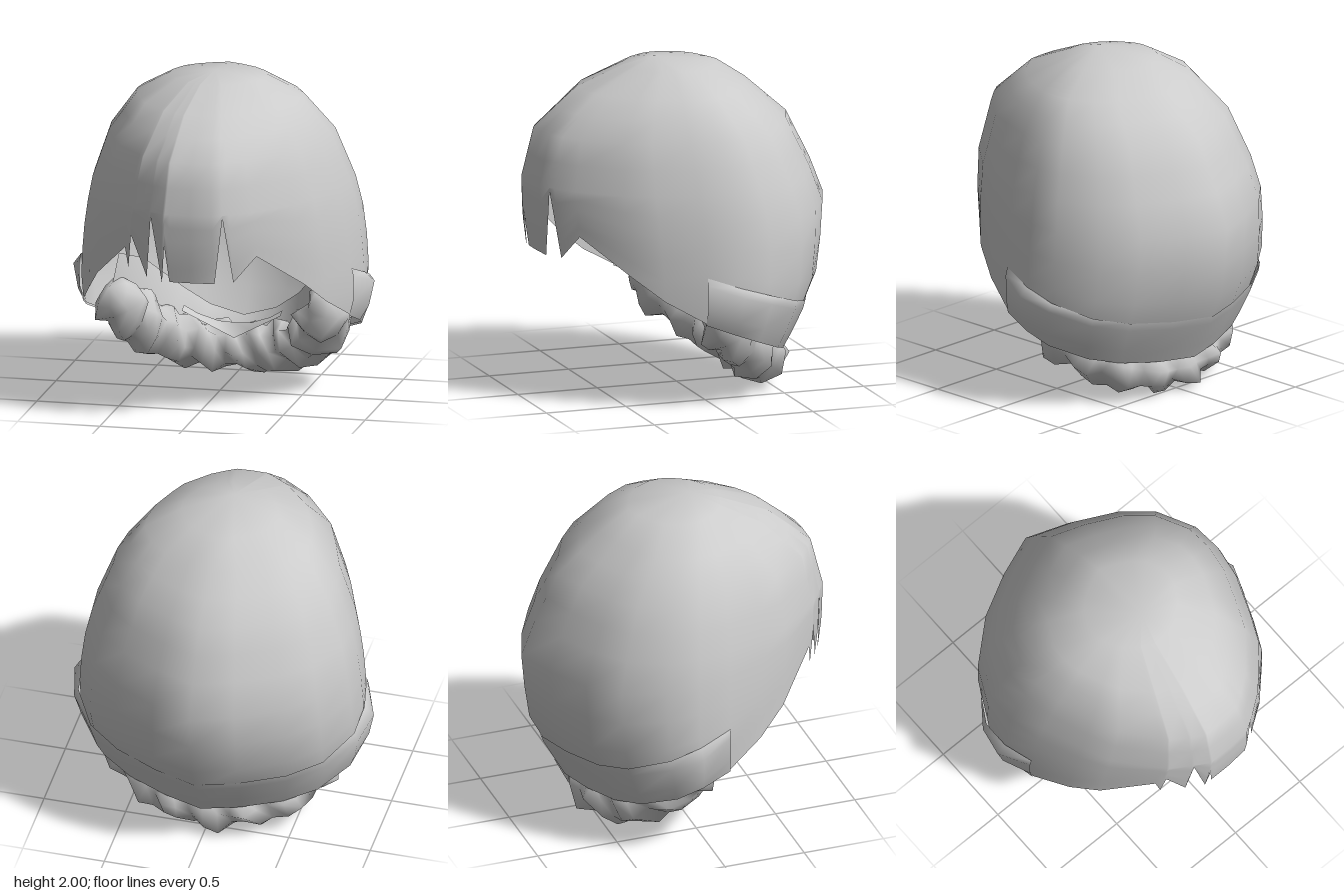
import * as THREE from 'three';
import { mergeVertices } from 'three/addons/utils/BufferGeometryUtils.js';

const material = new THREE.MeshStandardMaterial({ color: 0xcccccc, side: THREE.DoubleSide });

// Piecewise linear lookup in rows of [key, value, ...], keys ascending
function lookup(table, key, col = 1) {
  if (key <= table[0][0]) return table[0][col];
  for (let i = 1; i < table.length; i++) {
    const a = table[i - 1], b = table[i];
    if (key <= b[0]) return a[col] + (b[col] - a[col]) * (key - a[0]) / (b[0] - a[0]);
  }
  return table[table.length - 1][col];
}

function smoothMesh(name, geometry) {
  const merged = mergeVertices(geometry, 1e-4);
  merged.computeVertexNormals();
  const mesh = new THREE.Mesh(merged, material);
  mesh.name = name;
  return mesh;
}

// Smooth surface through columns of points, optionally closed around
function surface(name, columns, closed) {
  const rows = columns[0].length, n = columns.length, index = [];
  for (let c = 0; c < (closed ? n : n - 1); c++) {
    for (let r = 0; r < rows - 1; r++) {
      const a = c * rows + r, b = ((c + 1) % n) * rows + r;
      index.push(a, b, b + 1, a, b + 1, a + 1);
    }
  }
  const geometry = new THREE.BufferGeometry();
  geometry.setAttribute('position', new THREE.Float32BufferAttribute(columns.flat(2), 3));
  geometry.setIndex(index);
  return smoothMesh(name, geometry);
}

// Height: front z, back z, half width, z of the widest point
const LEVELS = [
  [0.22, 0.82, -0.64, 0.74, -0.05],
  [0.40, 0.84, -0.73, 0.82, -0.07],
  [0.65, 0.87, -0.87, 0.86, -0.10],
  [0.85, 0.89, -0.90, 0.85, -0.10],
  [1.07, 0.92, -0.93, 0.83, -0.10],
  [1.30, 0.93, -0.84, 0.78, -0.08],
  [1.60, 0.86, -0.69, 0.67, -0.04],
  [1.83, 0.60, -0.43, 0.50, 0.02],
  [1.95, 0.32, -0.25, 0.29, 0.06],
  [2.00, 0.14, 0.14, 0.00, 0.14],
];

// Point on the cap for outline coordinates (u across, v along) and a height
function capPoint(u, v, y, offset = 0) {
  const [front, back, width, mid] = [1, 2, 3, 4].map((c) => lookup(LEVELS, y, c));
  const z = mid + v * (v > 0 ? front - mid : mid - back);
  const len = Math.hypot(u, v);
  return [u * width + offset * u / len, y, z + offset * v / len];
}

// Side outline from the back to the temple: u, v, height of the lower edge
const SIDE = [
  [0.30, -0.89, 0.25], [0.61, -0.73, 0.28], [0.83, -0.54, 0.33],
  [0.98, -0.24, 0.41], [1.00, 0.00, 0.47], [0.96, 0.20, 0.54],
  [0.84, 0.44, 0.67], [0.74, 0.61, 0.81],
];
// Fringe from left to right: x, height of the lower edge
const FRINGE = [
  [0.40, 1.03], [0.27, 0.88], [0.22, 1.28], [0.17, 0.88], [0.03, 0.88], [-0.10, 0.88],
  [-0.13, 1.11], [-0.145, 0.87], [-0.22, 1.27], [-0.25, 0.89], [-0.37, 1.13],
  [-0.38, 0.92], [-0.41, 1.04],
];
const FRONT = [[0, 1], [0.18, 1], [0.44, 0.87], [0.6, 0.74], [0.74, 0.61]];

const mirror = (half) => half.map(([x, ...rest]) => [-x, ...rest]).reverse();

// Dome with level rows down to the brow, then rows reaching the ragged lower edge
function makeCap() {
  const fringe = FRINGE.map(([x, y]) => {
    const u = x / (y > 1.2 ? 0.79 : 0.84);
    return [u, lookup(FRONT, Math.abs(u)), y];
  });
  const outline = [[0, -1, 0.24], ...SIDE, ...fringe, ...mirror(SIDE)];
  const columns = outline.map(([u, v, edge]) => {
    const heights = [2, 1.95, 1.83, 1.72, 1.6, 1.45, 1.3];
    for (let k = 1; k <= 5; k++) heights.push(1.3 + (edge - 1.3) * k / 5);
    return heights.map((y) => capPoint(u, v, y));
  });
  return surface('cap', columns, true);
}

// Low raised band around the sides and back, flared over the ears
function makeBand() {
  const half = SIDE.slice(0, 6);
  const LIFT = [[-1, 0.012], [-0.54, 0.015], [-0.24, 0.03], [0, 0.06], [0.2, 0.015]];
  const columns = [...mirror(half), [0, -1, 0.24], ...half].map(([u, v, edge]) => {
    const lift = lookup(LIFT, v);
    return [
      capPoint(u, v, edge + 0.28, 0.004),
      capPoint(u, v, edge + 0.23, lift),
      capPoint(u, v, edge + 0.08, lift * 0.7),
      capPoint(u, v, edge - 0.01, 0.004),
    ];
  });
  return surface('band', columns, false);
}

// Lumpy roll of curls under the band, thicker toward its ends
function makeCurls() {
  const half = [[0.67, 0.60, 0.03], [0.62, 0.46, -0.10], [0.51, 0.30, -0.27], [0.33, 0.20, -0.40]];
  const path = [...half, [0, 0.15, -0.48], ...mirror(half)];
  const curve = new THREE.CatmullRomCurve3(path.map((p) => new THREE.Vector3(...p)));
  const segments = 30, sides = 8;
  const geometry = new THREE.TubeGeometry(curve, segments, 1, sides);
  const position = geometry.attributes.position, normal = geometry.attributes.normal;
  for (let i = 0; i <= segments; i++) {
    const t = i / segments, centre = curve.getPointAt(t);
    const taper = Math.min(1, Math.sqrt(Math.max(0, Math.sin(Math.PI * t)) * 4));
    for (let j = 0; j <= sides; j++) {
      const k = i * (sides + 1) + j, angle = j / sides * Math.PI * 2;
      const lump = 0.028 * Math.sin(i * 2.1 + 2 * angle) + 0.022 * Math.sin(i * 1.3 - 3 * angle);
      const radius = taper * (0.135 + 0.03 * Math.abs(2 * t - 1) + lump);
      position.setXYZ(k, centre.x + normal.getX(k) * radius,
        Math.max(0, centre.y + normal.getY(k) * radius), centre.z + normal.getZ(k) * radius);
    }
  }
  geometry.deleteAttribute('normal');
  geometry.deleteAttribute('uv');
  return smoothMesh('curls', geometry);
}

// Inner sheet rising from the curls toward the back of the cap
function makeLining() {
  const half = [
    [[-0.64, 0.78, -0.10], [-0.66, 0.62, -0.03], [-0.66, 0.46, -0.03]],
    [[-0.54, 0.70, -0.32], [-0.57, 0.50, -0.18], [-0.56, 0.30, -0.20]],
    [[-0.35, 0.48, -0.54], [-0.38, 0.34, -0.38], [-0.36, 0.18, -0.36]],
    [[-0.20, 0.37, -0.60], [-0.22, 0.27, -0.47], [-0.20, 0.13, -0.44]],
  ];
  const middle = [[0, 0.31, -0.62], [0, 0.22, -0.50], [0, 0.10, -0.46]];
  const other = half.map((column) => column.map(([x, y, z]) => [-x, y, z])).reverse();
  return surface('lining', [...half, middle, ...other], false);
}

// Thin crescent of hair at the nape
function makeNape() {
  const columns = [-0.3, -0.22, -0.1, 0, 0.1, 0.22, 0.3].map((x) => {
    const s = Math.abs(x) / 0.3;
    return [[x, 0.31 + 0.11 * s * s, -0.42 + 0.08 * s], [x, 0.23 + 0.17 * s, -0.36 + 0.08 * s]];
  });
  return surface('napeTuft', columns, false);
}

export function createModel() {
  const group = new THREE.Group();
  group.name = 'hairCap';
  group.add(makeCap(), makeBand(), makeCurls(), makeLining(), makeNape());
  return group;
}
